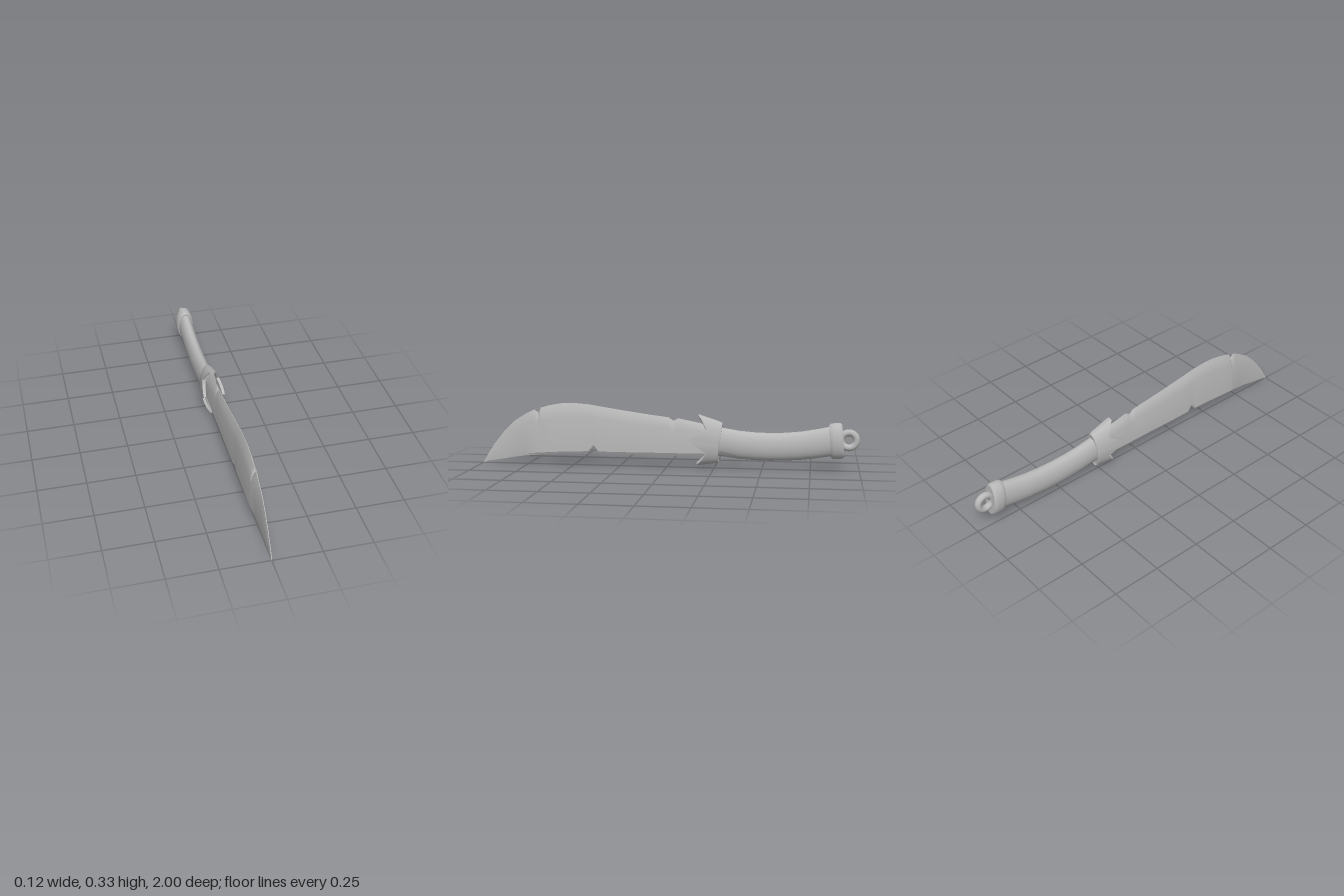
import * as THREE from 'three';
import { toCreasedNormals } from 'three/addons/utils/BufferGeometryUtils.js';

// Skin a list of closed rings (counter-clockwise seen from +z) and cap both ends.
function loft(rings, crease = 0.6) {
  const n = rings[0].length, pos = [], idx = [];
  rings.forEach(r => r.forEach(p => pos.push(...p)));
  for (let i = 0; i < rings.length - 1; i++) {
    for (let j = 0; j < n; j++) {
      const k = (j + 1) % n, a = i * n + j, b = i * n + k;
      idx.push(a, b, b + n, a, b + n, a + n);
    }
  }
  const cap = (i, flip) => {
    const c = [0, 1, 2].map(d => rings[i].reduce((s, p) => s + p[d], 0) / n);
    const ci = pos.length / 3;
    pos.push(...c);
    for (let j = 0; j < n; j++) {
      const a = i * n + j, b = i * n + (j + 1) % n;
      idx.push(ci, ...(flip ? [b, a] : [a, b]));
    }
  };
  cap(0, true);
  cap(rings.length - 1, false);
  const g = new THREE.BufferGeometry();
  g.setAttribute('position', new THREE.Float32BufferAttribute(pos, 3));
  g.setIndex(idx);
  return toCreasedNormals(g, crease);
}

// Ellipse ring; shear leans it so its top sits further forward.
function ellipse(z, y, rx, ry, shear = 0, n = 32) {
  return Array.from({ length: n }, (_, j) => {
    const t = j / n * Math.PI * 2, dy = Math.sin(t) * ry;
    return [Math.cos(t) * rx, y + dy, z + shear * dy];
  });
}

// Blade section: flat spine below, bevel to a sharp edge on top.
function bladeSection([z, bottom, top, w]) {
  const h = top - bottom, chamfer = Math.min(0.012, h * 0.15);
  const half = [[w * 0.75, bottom], [w, bottom + chamfer], [w * 0.98, top - h * 0.27], [w * 0.55, top - h * 0.1], [0.0015, top]];
  const right = half.map(([x, y]) => [x, y, z]);
  return [...right, ...right.map(([x, y]) => [-x, y, z]).reverse()];
}

export function createModel() {
  const group = new THREE.Group();
  const steel = new THREE.MeshStandardMaterial({ color: 0xb8b8b8 });
  steel.name = 'grey steel';
  const add = (name, geometry) => {
    const mesh = new THREE.Mesh(geometry, steel);
    mesh.name = name;
    group.add(mesh);
    return mesh;
  };

  // Blade stations: z, bottom, top, half thickness (with three nicks)
  const stations = [
    [-0.25, 0.075, 0.225, 0.022], [-0.18, 0.072, 0.24, 0.022],
    [-0.06, 0.07, 0.264, 0.022], [-0.035, 0.07, 0.25, 0.022], [-0.01, 0.07, 0.268, 0.022],
    [0.1, 0.07, 0.282, 0.022], [0.25, 0.069, 0.303, 0.023],
    [0.365, 0.07, 0.321, 0.023], [0.39, 0.105, 0.325, 0.021], [0.42, 0.07, 0.33, 0.023],
    [0.5, 0.068, 0.336, 0.023], [0.56, 0.065, 0.334, 0.023], [0.63, 0.061, 0.322, 0.023],
    [0.68, 0.057, 0.307, 0.022], [0.69, 0.056, 0.28, 0.022], [0.715, 0.054, 0.298, 0.018],
    [0.76, 0.049, 0.275, 0.012], [0.82, 0.042, 0.238, 0.008], [0.88, 0.03, 0.18, 0.006],
    [0.93, 0.022, 0.118, 0.005], [0.97, 0.015, 0.06, 0.003], [1, 0.005, 0.009, 0.002],
  ];
  add('blade', loft(stations.map(bladeSection), 0.35));

  // Curved grip: z, centre y, half width, half height
  const grip = [
    [-0.87, 0.162, 0.038, 0.078], [-0.78, 0.145, 0.038, 0.076], [-0.7, 0.133, 0.038, 0.074],
    [-0.62, 0.126, 0.038, 0.073], [-0.54, 0.123, 0.038, 0.073], [-0.46, 0.125, 0.038, 0.073],
    [-0.38, 0.131, 0.038, 0.074], [-0.3, 0.143, 0.038, 0.075], [-0.23, 0.15, 0.038, 0.076],
  ];
  add('grip', loft(grip.map(s => ellipse(...s))));

  // Flared guard with four prongs pointing along the blade
  const n = 48, back = -0.282, valley = -0.213, floorZ = -0.235;
  const guardRing = (zOf, inset) => Array.from({ length: n }, (_, j) => {
    const t = j / n * Math.PI * 2, c = Math.cos(t), s = Math.sin(t);
    const lean = Math.asin(Math.min(1, Math.abs(s))) / (Math.PI / 6);
    const crown = s > 0 ? -0.168 : -0.16;
    const tip = lean < 1
      ? THREE.MathUtils.lerp(-0.125, valley, lean)
      : THREE.MathUtils.lerp(valley, crown, Math.min(1, (lean - 1) / 1.5));
    const z = zOf(tip), f = Math.min(1.1, (z - back) / 0.12);
    return [
      c * (0.046 + 0.011 * f - inset),
      0.143 + 0.011 * f + s * (0.108 + 0.028 * f - inset),
      z + (z === back ? -0.012 * s : 0),
    ];
  });
  add('guard', loft([
    guardRing(() => back, 0.006),
    guardRing(() => back + 0.008, 0),
    guardRing(tip => tip, 0),
    guardRing(tip => tip, 0.014),
    guardRing(() => floorZ, 0.016),
  ]));

  // Leaning pommel collar with rounded rims
  const collar = [
    [-0.915, 0.163, 0.041, 0.084], [-0.908, 0.163, 0.047, 0.091], [-0.895, 0.162, 0.049, 0.093],
    [-0.87, 0.16, 0.049, 0.093], [-0.856, 0.159, 0.047, 0.091], [-0.848, 0.158, 0.042, 0.085],
  ];
  add('pommelCollar', loft(collar.map(s => ellipse(...s, 0.08))));

  // Lanyard ring
  const ring = add('lanyardRing', new THREE.TorusGeometry(0.039, 0.018, 14, 32));
  ring.rotation.y = Math.PI / 2;
  ring.position.set(0, 0.166, -0.943);

  return group;
}
